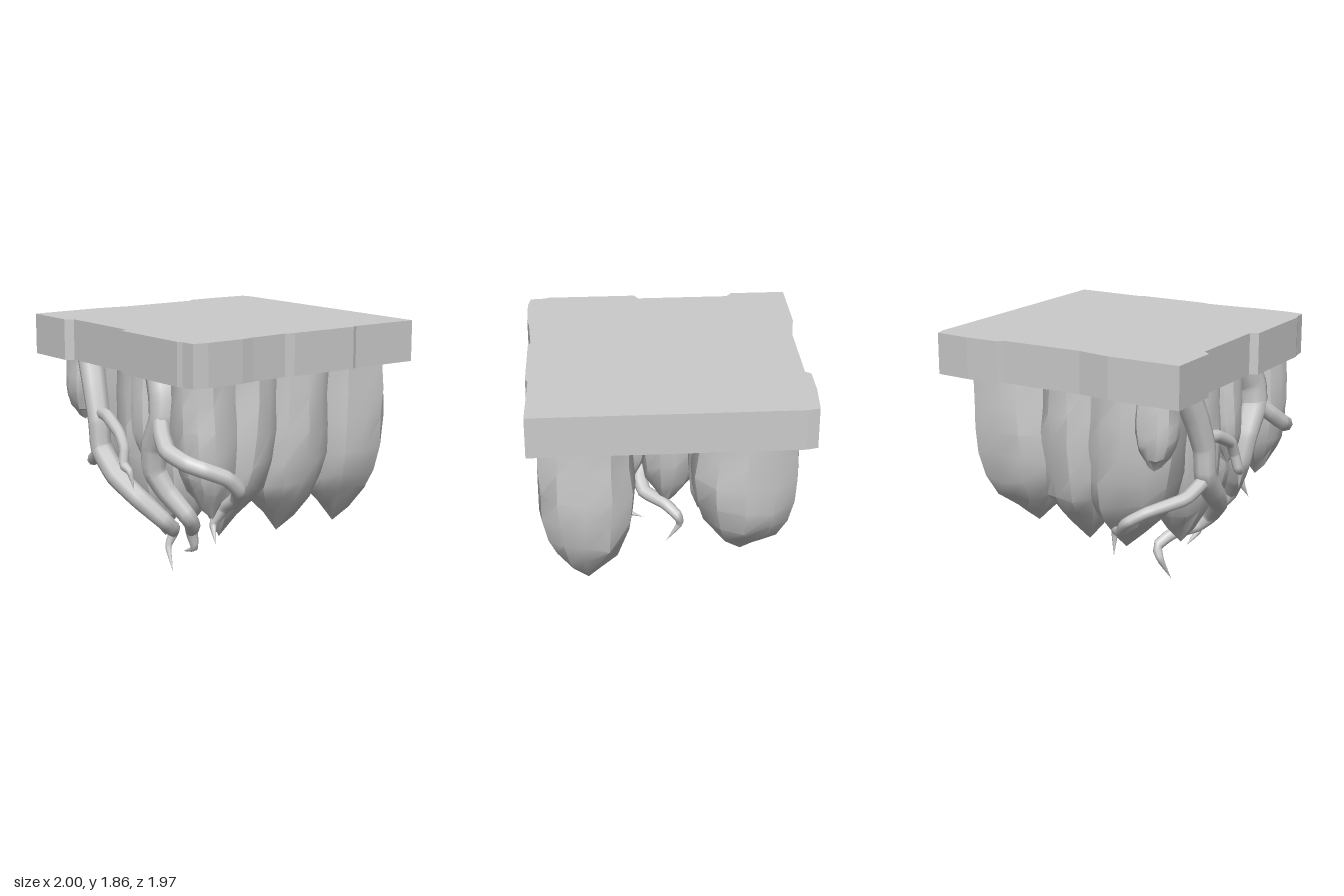
import * as THREE from 'three';
import { toCreasedNormals } from 'three/addons/utils/BufferGeometryUtils.js';

const material = new THREE.MeshStandardMaterial({ color: 0xcccccc });
const TOP = 1.6;

// Repeatable noise in -1..1
function noise(a, b, seed) {
  const s = Math.sin(a * 12.99 + b * 78.23 + seed * 37.72) * 43758.55;
  return (s - Math.floor(s)) * 2 - 1;
}

function addMesh(group, name, geometry) {
  const mesh = new THREE.Mesh(geometry, material);
  mesh.name = name;
  group.add(mesh);
}

// Rough square slab with chipped edges
function slab() {
  const outline = [
    [-0.98, -0.96], [-0.9, -0.98], [0.94, -0.98], [0.922, -0.46], [0.94, -0.42],
    [0.93, 0.1], [0.912, 0.17], [0.925, 0.45], [0.94, 0.55], [0.94, 0.83],
    [0.92, 0.935], [0.82, 0.945], [0.78, 0.96], [0.14, 0.96], [0.11, 0.905],
    [-0.56, 0.905], [-0.6, 0.96], [-1, 0.96], [-1, 0.43], [-0.96, 0.19],
    [-0.96, -0.42], [-1, -0.45], [-1, -0.7],
  ];
  const shape = new THREE.Shape(outline.map(([x, z]) => new THREE.Vector2(x, -z)));
  const g = new THREE.ExtrudeGeometry(shape, { depth: 0.293, bevelEnabled: false });
  return g.rotateX(-Math.PI / 2).translate(0, 1.578, 0);
}

// Hanging rock: an uneven column that closes to a faceted point
const PROFILE = [[0, 0.97], [0.17, 0.99], [0.35, 1.03], [0.52, 1], [0.67, 0.91], [0.78, 0.73], [0.89, 0.38], [1, 0]];
function rock([cx, cz], [rx, rz], [tx, ty, tz], seed) {
  const sides = 12, rows = PROFILE.length - 1;
  const g = new THREE.CylinderGeometry(1, 1, 1, sides, rows, true);
  const p = g.attributes.position;
  for (let i = 0; i < p.count; i++) {
    const row = Math.floor(i / (sides + 1)), side = (i % (sides + 1)) % sides;
    const [t, s] = PROFILE[row];
    const a = (side / sides) * Math.PI * 2 + seed;
    // slightly squared section, with ridges running down the column
    const square = 1 + 0.07 * (1 - Math.cos(4 * a)) / 2;
    const r = s * square * (1 + 0.03 * noise(side, 0, seed) + 0.04 * noise(side, row, seed));
    const lean = t * t;
    const drop = row > 2 && row < rows ? 0.03 * noise(row, side, seed + 3) : 0;
    // the lower end narrows more from side to side than from front to back
    p.setXYZ(i,
      cx + (tx - cx) * lean + Math.sin(a) * rx * r * (1 - 0.15 * lean),
      TOP + (ty - TOP) * t + drop,
      cz + (tz - cz) * lean + Math.cos(a) * rz * r);
  }
  return toCreasedNormals(g, 0.55);
}

// Root: a tube along a kinked path, thinning to a point; radii are spread along its length
function root(points, radii) {
  const curve = new THREE.CatmullRomCurve3(points.map((q) => new THREE.Vector3(...q)), false, 'catmullrom', 0.2);
  const segments = points.length * 4, sides = 8;
  const g = new THREE.TubeGeometry(curve, segments, 1, sides, false);
  const p = g.attributes.position, v = new THREE.Vector3();
  for (let i = 0; i < p.count; i++) {
    const u = Math.floor(i / (sides + 1)) / segments;
    const f = u * (radii.length - 1), k = Math.min(Math.floor(f), radii.length - 2);
    const r = THREE.MathUtils.lerp(radii[k], radii[k + 1], f - k);
    const c = curve.getPointAt(u);
    v.fromBufferAttribute(p, i).sub(c).multiplyScalar(r).add(c);
    p.setXYZ(i, v.x, v.y, v.z);
  }
  return g;
}

export function createModel() {
  const model = new THREE.Group();
  model.name = 'rootedStoneSlab';
  addMesh(model, 'slab', slab());

  // centre xz, radius xz, tip xyz
  const rocks = [
    ['backLeftRock', [0.55, -0.63], [0.34, 0.3], [0.55, 0.38, -0.6]],
    ['backRightRock', [-0.57, -0.51], [0.38, 0.36], [-0.55, 0.47, -0.43]],
    ['leftMiddleRock', [0.58, -0.1], [0.33, 0.27], [0.53, 0.39, -0.08]],
    ['leftFrontRock', [0.58, 0.32], [0.3, 0.22], [0.55, 0.44, 0.45]],
    ['cornerRock', [0.7, 0.7], [0.19, 0.21], [0.76, 0.64, 0.66]],
    ['rightMiddleRock', [-0.56, -0.02], [0.35, 0.28], [-0.47, 0.37, -0.05]],
    ['rightFrontRock', [-0.58, 0.42], [0.34, 0.32], [-0.46, 0.36, 0.25]],
    ['frontRock', [-0.14, 0.5], [0.27, 0.27], [-0.06, 0.31, 0.47]],
    ['frontInnerRock', [0.22, 0.5], [0.22, 0.24], [0.27, 0.45, 0.5]],
    ['smallFrontRock', [0.1, 0.7], [0.13, 0.13], [0.13, 0.9, 0.74]],
    ['smallCornerRock', [-0.77, 0.67], [0.14, 0.14], [-0.81, 1.08, 0.67]],
  ];
  rocks.forEach(([name, c, r, tip], i) => addMesh(model, name, rock(c, r, tip, i + 1)));

  addMesh(model, 'longRoot', root([
    [-0.59, 1.65, 0.76], [-0.46, 1.37, 0.8], [-0.38, 1.15, 0.82], [-0.36, 0.95, 0.82],
    [-0.2, 0.78, 0.8], [0, 0.64, 0.74], [0.12, 0.49, 0.62], [0.09, 0.4, 0.52],
    [-0.06, 0.36, 0.4], [-0.16, 0.28, 0.33], [-0.175, 0.18, 0.37], [-0.07, 0.01, 0.4],
  ], [0.1, 0.09, 0.08, 0.08, 0.07, 0.055, 0.04, 0]));
  addMesh(model, 'middleRoot', root([
    [0.28, 1.65, 0.74], [0.39, 1.44, 0.78], [0.4, 1.28, 0.8], [0.28, 1.08, 0.8],
    [0.25, 0.9, 0.78], [0.31, 0.75, 0.72], [0.42, 0.58, 0.62], [0.38, 0.49, 0.55],
    [0.27, 0.42, 0.48], [0.25, 0.28, 0.44], [0.1, 0.22, 0.43],
  ], [0.12, 0.12, 0.1, 0.09, 0.075, 0.06, 0.04, 0]));
  addMesh(model, 'sideRoot', root([
    [0.42, 1.28, 0.84], [0.5, 1.21, 0.89], [0.62, 1.12, 0.93], [0.78, 1.06, 0.89],
    [0.88, 1.02, 0.81], [0.945, 0.96, 0.68], [0.95, 0.87, 0.59], [0.87, 0.78, 0.54],
    [0.73, 0.7, 0.54], [0.67, 0.58, 0.59], [0.74, 0.45, 0.62],
  ], [0.06, 0.06, 0.058, 0.055, 0.05, 0.045, 0]));
  addMesh(model, 'cornerRoot', root([
    [-0.38, 0.92, 0.82], [-0.55, 0.83, 0.77], [-0.78, 0.77, 0.6], [-0.85, 0.69, 0.47],
    [-0.78, 0.59, 0.39], [-0.6, 0.52, 0.24], [-0.6, 0.33, 0.23],
  ], [0.05, 0.045, 0.04, 0.035, 0.035, 0]));
  addMesh(model, 'thinRoot', root([
    [-0.38, 1.22, 0.82], [-0.24, 1.21, 0.84], [-0.06, 1.12, 0.86], [0, 1.02, 0.86],
    [0.02, 0.91, 0.88], [0.08, 0.87, 0.87], [0.1, 0.74, 0.85],
  ], [0.045, 0.045, 0.04, 0.035, 0]));
  return model;
}
